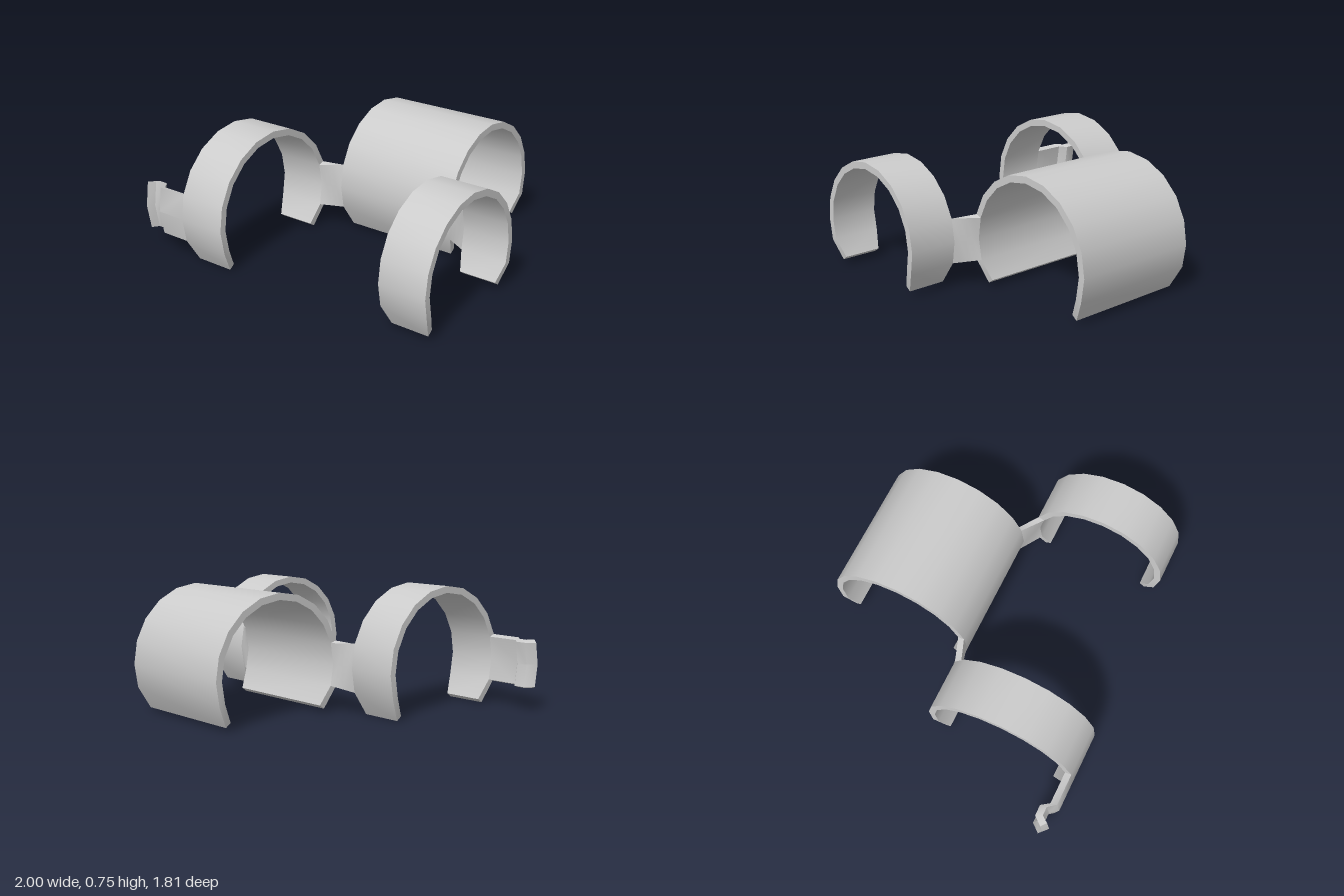
import * as THREE from 'three';
import { toCreasedNormals } from 'three/addons/utils/BufferGeometryUtils.js';

const DEG = Math.PI / 180;
const WALL = 0.04;

// Closed plate between two point grids of equal size
function slab(name, a, b) {
  const pos = [];
  const tri = (p, q, r) => pos.push(...p, ...q, ...r);
  const quad = (p, q, r, s) => { tri(p, q, r); tri(p, r, s); };
  const m = a.length - 1, n = a[0].length - 1;
  for (let i = 0; i < m; i++) {
    for (let j = 0; j < n; j++) {
      quad(a[i][j], a[i + 1][j], a[i + 1][j + 1], a[i][j + 1]);
      quad(b[i][j], b[i][j + 1], b[i + 1][j + 1], b[i + 1][j]);
    }
    quad(a[i][0], b[i][0], b[i + 1][0], a[i + 1][0]);
    quad(a[i][n], a[i + 1][n], b[i + 1][n], b[i][n]);
  }
  for (let j = 0; j < n; j++) {
    quad(a[0][j], a[0][j + 1], b[0][j + 1], b[0][j]);
    quad(a[m][j], b[m][j], b[m][j + 1], a[m][j + 1]);
  }
  // Turn the faces outward if the enclosed volume is negative
  let volume = 0;
  const p = [0, 1, 2].map(() => new THREE.Vector3());
  for (let k = 0; k < pos.length; k += 9) {
    p.forEach((v, c) => v.fromArray(pos, k + 3 * c));
    volume += p[0].dot(p[1].clone().cross(p[2]));
  }
  if (volume < 0) {
    for (let k = 0; k < pos.length; k += 9) {
      for (let c = 0; c < 3; c++) {
        [pos[k + 3 + c], pos[k + 6 + c]] = [pos[k + 6 + c], pos[k + 3 + c]];
      }
    }
  }
  const geo = new THREE.BufferGeometry();
  geo.setAttribute('position', new THREE.Float32BufferAttribute(pos, 3));
  const mesh = new THREE.Mesh(toCreasedNormals(geo, 0.9),
    new THREE.MeshStandardMaterial({ color: 0xcccccc }));
  mesh.name = name;
  return mesh;
}

// Point on a ring; the angle is measured from the top towards +z
const ringPoint = (ring, deg, r, x) =>
  [x, ring.y + r * Math.cos(deg * DEG), ring.z + r * Math.sin(deg * DEG)];

// Open C-shaped ring whose last segment narrows at both ends
function openRing(ring) {
  const surface = (r) => {
    const rows = [];
    for (let deg = -126; deg <= 126; deg += 18) {
      const inset = Math.abs(deg) === 126 ? 0.03 : 0;
      rows.push([ringPoint(ring, deg, r, ring.x0 + inset), ringPoint(ring, deg, r, ring.x1 - inset)]);
    }
    return rows;
  };
  return slab(ring.name, surface(ring.r), surface(ring.r - WALL));
}

// Strap that blends the back wall of a cuff into the front wall of the sleeve
function strap(name, cuff, xCuff, sleeve, xSleeve) {
  const surface = (rCuff, rSleeve) => {
    const rows = [];
    for (let i = 0; i <= 4; i++) {
      rows.push([72, 90, 108].map((deg) => {
        const p = ringPoint(cuff, -deg, rCuff, xCuff);
        const q = ringPoint(sleeve, deg, rSleeve, xSleeve);
        return p.map((v, c) => v + (q[c] - v) * i / 4);
      }));
    }
    return rows;
  };
  return slab(name, surface(cuff.r, sleeve.r - WALL), surface(cuff.r - WALL, sleeve.r));
}

// Tab on the front wall of a cuff with a kinked lip; profile is [x, z shift]
function lipTab(name, cuff) {
  const outer = [[cuff.x0, 0], [-0.85, 0], [-0.888, -0.047], [-0.94, -0.047], [-0.968, -0.008]];
  const inner = [[cuff.x0, 0], [-0.857, 0], [-0.892, -0.048], [-0.957, -0.048], [-1, 0.003]];
  const surface = (r, profile) => profile.map(([x, dz]) => [72, 90, 108].map((deg) => {
    const p = ringPoint(cuff, deg, r, x);
    return [p[0], p[1], p[2] + dz];
  }));
  return slab(name, surface(cuff.r, outer), surface(cuff.r - WALL, inner));
}

export function createModel() {
  const group = new THREE.Group();
  group.name = 'linkedClips';
  const sleeve = { name: 'backSleeve', x0: -0.21, x1: 0.577, y: 0.285, z: -0.455, r: 0.45 };
  const rightCuff = { name: 'rightCuff', x0: -0.662, x1: -0.356, y: 0.276, z: 0.435, r: 0.47 };
  const leftCuff = { name: 'leftCuff', x0: 0.712, x1: 1, y: 0.28, z: 0.435, r: 0.43 };

  // Three open rings
  group.add(...[sleeve, rightCuff, leftCuff].map(openRing));
  // Connecting straps and end tab
  group.add(
    strap('rightStrap', rightCuff, rightCuff.x1, sleeve, sleeve.x0),
    strap('leftStrap', leftCuff, leftCuff.x0, sleeve, sleeve.x1),
    lipTab('lipTab', rightCuff));
  return group;
}
